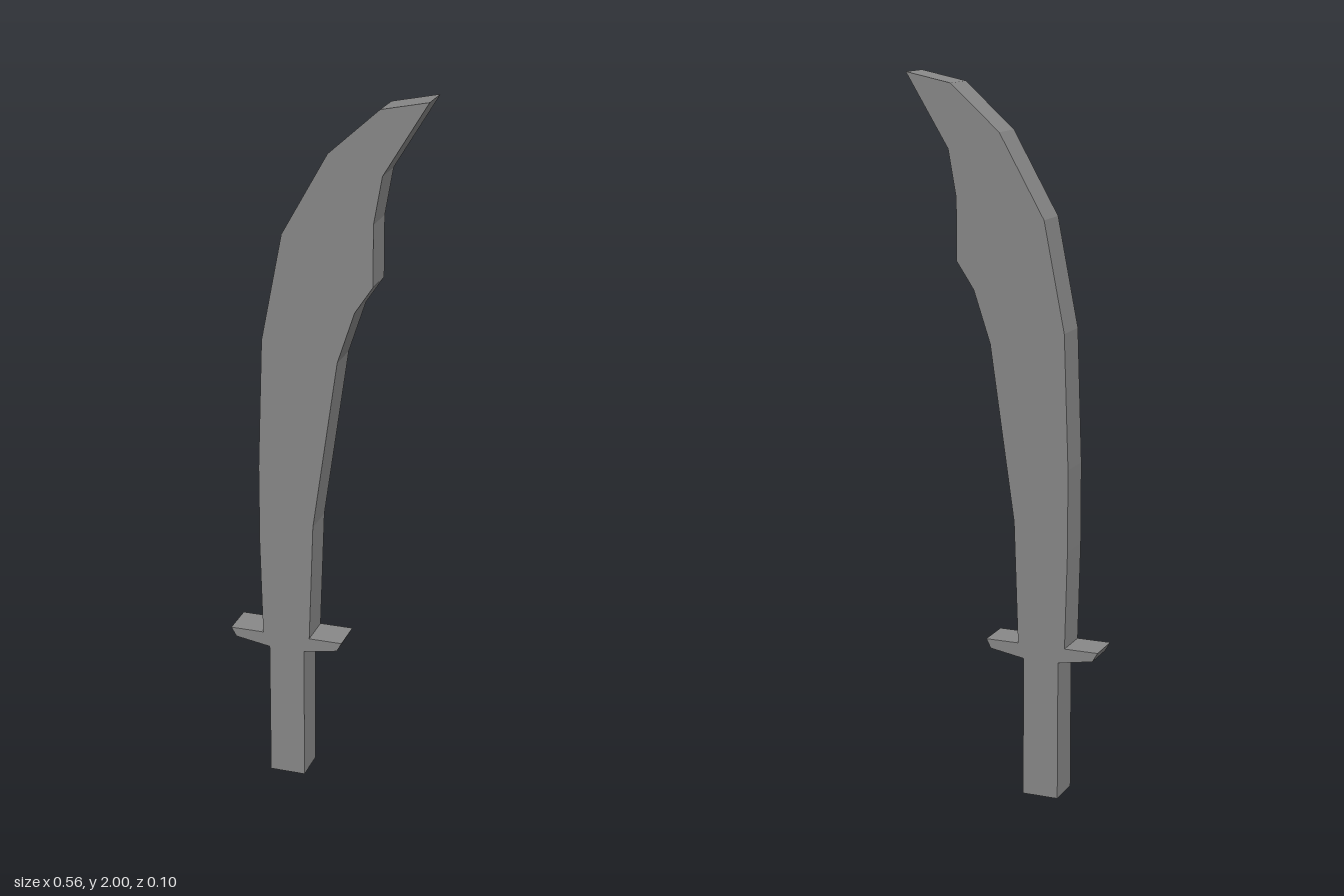
import * as THREE from 'three';

const THICKNESS = 0.102;

// Flat slab cut from an outline in the XY plane, centred on z = 0
function slab(name, points) {
  const shape = new THREE.Shape(points.map(([x, y]) => new THREE.Vector2(x, y)));
  const geometry = new THREE.ExtrudeGeometry(shape, { depth: THICKNESS, bevelEnabled: false });
  geometry.translate(0, 0, -THICKNESS / 2);
  const material = new THREE.MeshStandardMaterial({ color: 0x888888, flatShading: true });
  const mesh = new THREE.Mesh(geometry, material);
  mesh.name = name;
  return mesh;
}

export function createModel() {
  const sword = new THREE.Group();
  sword.name = 'curvedSword';

  // Straight square grip
  const gripLeft = -0.061, gripRight = -0.164, gripTop = 0.4;
  sword.add(slab('grip', [
    [gripRight, 0], [gripLeft, 0], [gripLeft, gripTop], [gripRight, gripTop],
  ]));

  // Crossguard with arms tapering underneath
  const guardTop = 0.443;
  sword.add(slab('crossguard', [
    [gripRight, gripTop], [gripLeft, gripTop], [0.037, 0.417], [0.051, guardTop],
    [-0.28, guardTop], [-0.265, 0.417],
  ]));

  // Curved blade: cutting edge upwards to the tip, then down the spine
  sword.add(slab('blade', [
    [-0.045, guardTop], [-0.033, 0.79], [0.037, 1.28], [0.085, 1.425],
    [0.135, 1.5], [0.135, 1.67], [0.158, 1.8], [0.28, 2],
    [0.15, 1.973], [0.01, 1.848], [-0.118, 1.622], [-0.177, 1.322],
    [-0.19, 0.95], [-0.19, 0.72], [-0.183, guardTop],
  ]));

  return sword;
}
